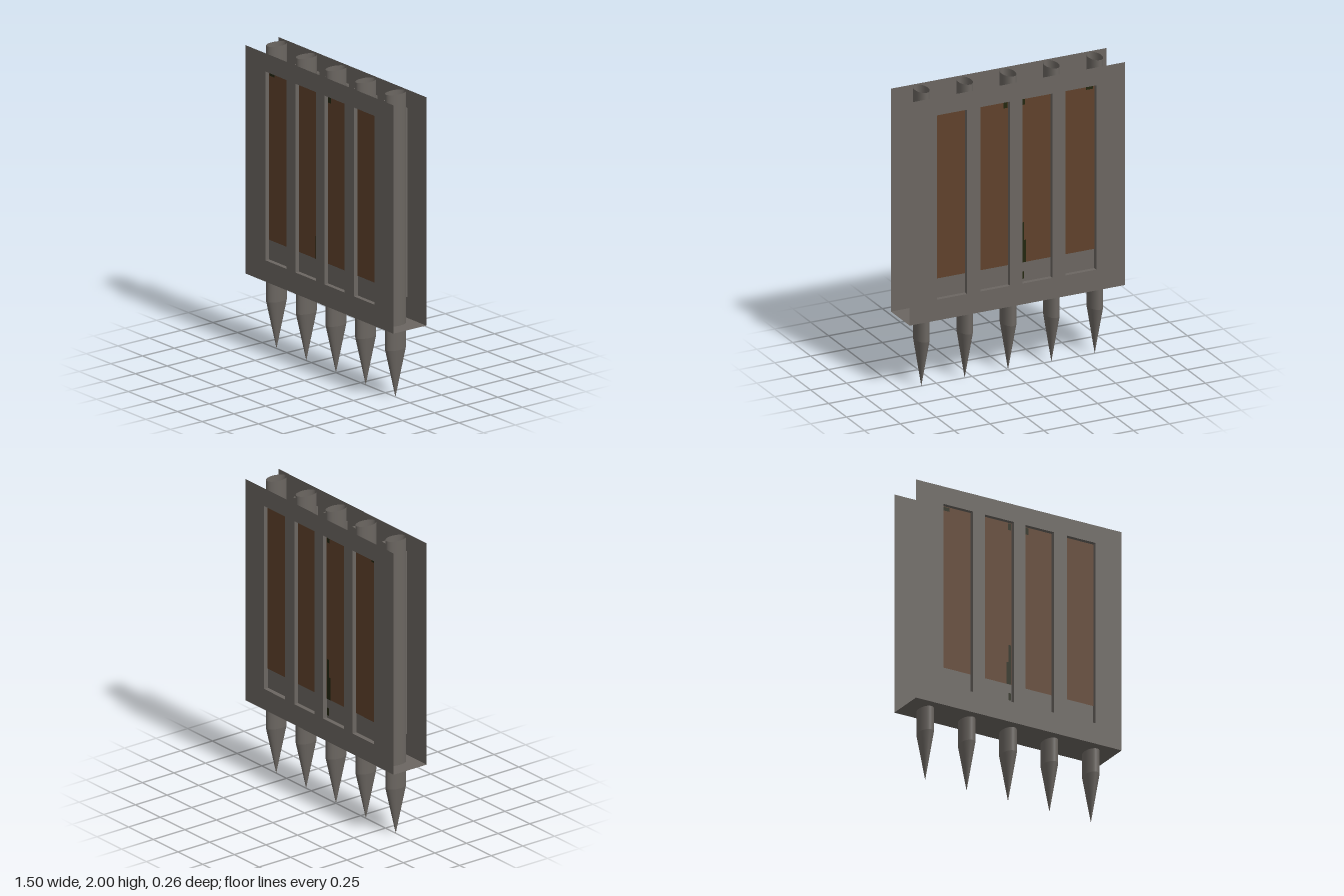
import * as THREE from 'three';

const W = 1.5, BOTTOM = 0.48, TOP = 1.98, Z = 0.13, INNER = 0.1;
const SILL = 0.62, HEAD = 1.86, FILL = 0.75;
const WINDOWS = [[-0.55, -0.335], [-0.245, -0.035], [0.05, 0.255], [0.35, 0.56]];
// small dark stains: x0, x1, y0, y1
const STAINS = [
  [-0.075, -0.04, 0.75, 0.9], [-0.06, -0.04, 0.9, 1.02], [-0.06, -0.04, 0.64, 0.69],
  [-0.54, -0.49, 1.83, 1.855], [0.055, 0.085, 1.81, 1.855], [-0.065, -0.04, 1.81, 1.855],
];

export function createModel() {
  const make = (name, color) => {
    const m = new THREE.MeshStandardMaterial({ color, side: THREE.DoubleSide });
    m.name = name;
    return m;
  };
  const grey = make('stoneGrey', 0x6b6661);
  const brown = make('rustBrown', 0x5f412b);
  const green = make('darkMoss', 0x23260f);

  const model = new THREE.Group();
  model.name = 'spikedBarrier';

  const add = (parent, name, geo, mat) => {
    const mesh = new THREE.Mesh(geo, mat);
    mesh.name = name;
    parent.add(mesh);
    return mesh;
  };
  // flat upright rectangle facing +z
  const panel = (parent, name, mat, x0, x1, y0, y1, z) =>
    add(parent, name, new THREE.PlaneGeometry(x1 - x0, y1 - y0), mat)
      .position.set((x0 + x1) / 2, (y0 + y1) / 2, z);

  // One face of the barrier: pierced sheet with four recessed panels
  function face(name, mirror) {
    const g = new THREE.Group();
    g.name = name;
    const flip = ([a, b]) => (mirror ? [-b, -a] : [a, b]);

    const sheet = new THREE.Shape();
    sheet.moveTo(-W / 2, BOTTOM).lineTo(W / 2, BOTTOM).lineTo(W / 2, TOP).lineTo(-W / 2, TOP).closePath();
    for (const w of WINDOWS) {
      const [x0, x1] = flip(w), xm = (x0 + x1) / 2, d = Z - INNER, zm = (Z + INNER) / 2;
      const hole = new THREE.Path();
      hole.moveTo(x0, SILL).lineTo(x0, HEAD).lineTo(x1, HEAD).lineTo(x1, SILL).closePath();
      sheet.holes.push(hole);

      // recess walls face into the opening
      for (const s of [-1, 1]) {
        const side = add(g, 'recessSide', new THREE.PlaneGeometry(d, HEAD - SILL), grey);
        side.rotation.y = -s * Math.PI / 2;
        side.position.set(s < 0 ? x0 : x1, (SILL + HEAD) / 2, zm);
        const ledge = add(g, s < 0 ? 'recessSill' : 'recessHead', new THREE.PlaneGeometry(x1 - x0, d), grey);
        ledge.rotation.x = s * Math.PI / 2;
        ledge.position.set(xm, s < 0 ? SILL : HEAD, zm);
      }
      panel(g, 'recessBack', grey, x0, x1, SILL, HEAD, INNER);
      panel(g, 'rustPanel', brown, x0, x1, FILL, HEAD, INNER + 0.002);
    }
    for (const [a, b, y0, y1] of STAINS) {
      const [x0, x1] = flip([a, b]);
      panel(g, 'stain', green, x0, x1, y0, y1, INNER + 0.004);
    }
    const plate = add(g, 'sheet', new THREE.ShapeGeometry(sheet), grey);
    plate.position.z = Z;
    if (mirror) g.rotation.y = Math.PI;
    model.add(g);
  }
  face('frontFace', false);
  face('backFace', true);

  // Floor sheet joining the two faces
  const floor = add(model, 'floor', new THREE.PlaneGeometry(W, Z * 2), grey);
  floor.rotation.x = -Math.PI / 2;
  floor.position.y = BOTTOM;

  // Five oval, open-topped stakes with pointed feet
  for (let i = -2; i <= 2; i++) {
    const stake = new THREE.Group();
    stake.name = 'stake';
    const shaft = add(stake, 'shaft', new THREE.CylinderGeometry(1, 1, 1.68, 32, 1, true), grey);
    shaft.position.y = 1.16;
    const point = add(stake, 'point', new THREE.ConeGeometry(1, 0.32, 32, 1, true), grey);
    point.geometry.rotateX(Math.PI);
    point.position.y = 0.16;
    for (const m of [shaft, point]) m.geometry.scale(0.045, 1, 0.075);
    stake.position.x = i * 0.302;
    model.add(stake);
  }
  return model;
}
